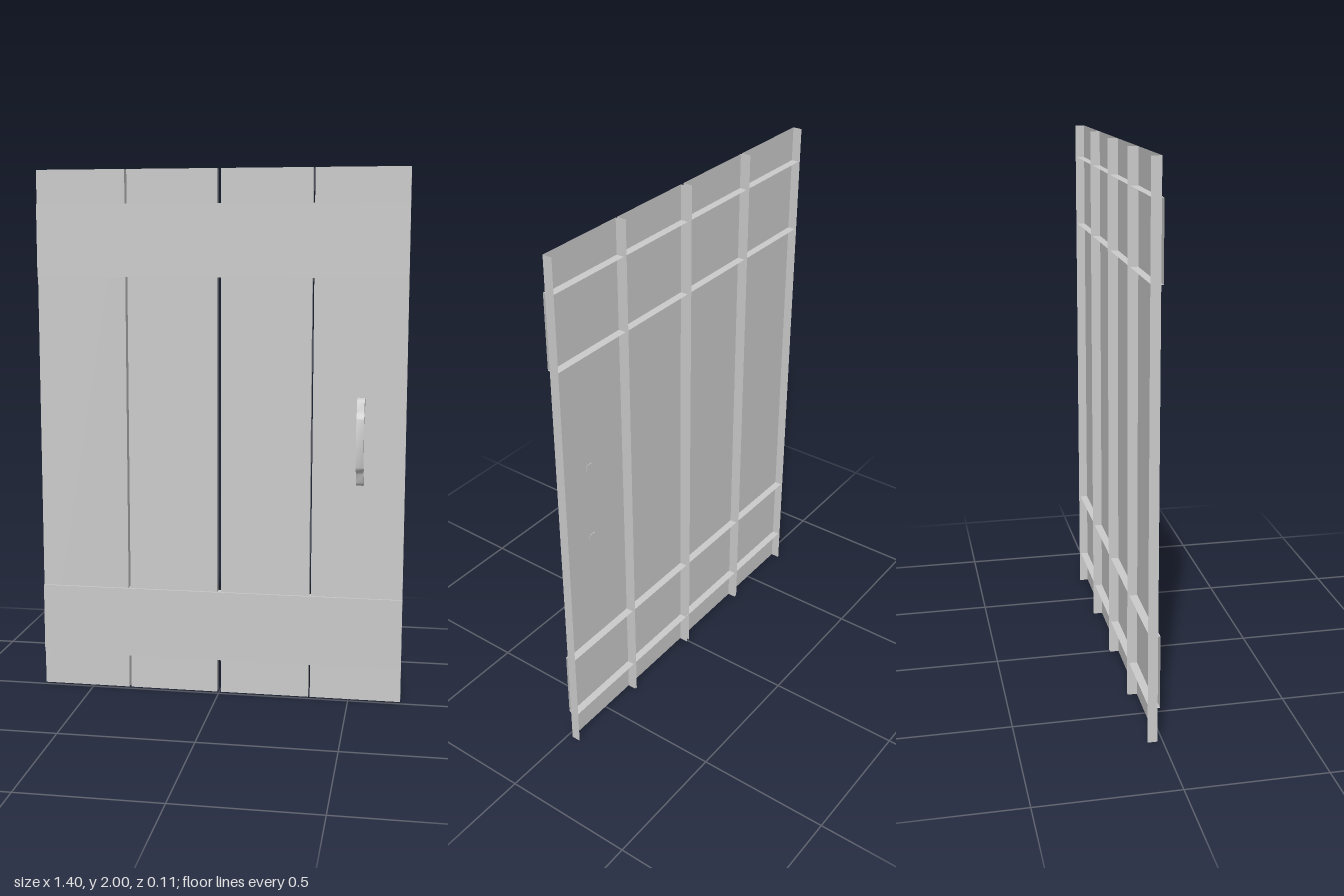
import * as THREE from 'three';
import { toCreasedNormals } from 'three/addons/utils/BufferGeometryUtils.js';

const material = new THREE.MeshStandardMaterial({ color: 0xcccccc, side: THREE.DoubleSide });

// Box face numbers, in the order BoxGeometry lists them
const LEFT = 0, RIGHT = 1, TOP = 2, BOTTOM = 3, FRONT = 4;

// An open sheet channel: a box that keeps only the given faces
function channel(name, [x0, x1], [y0, y1], [z0, z1], faces) {
  const geometry = new THREE.BoxGeometry(x1 - x0, y1 - y0, z1 - z0);
  const all = Array.from(geometry.index.array);
  geometry.setIndex(faces.flatMap((f) => all.slice(f * 6, f * 6 + 6)));
  geometry.clearGroups();
  const mesh = new THREE.Mesh(geometry, material);
  mesh.name = name;
  mesh.position.set((x0 + x1) / 2, (y0 + y1) / 2, (z0 + z1) / 2);
  return mesh;
}

// Bent pull handle: side profile mirrored top to bottom, extruded across x
function createHandle() {
  const outer = [[-0.021, 0.162], [0.014, 0.162], [0.022, 0.158], [0.028, 0.148],
    [0.034, 0.117], [0.039, 0.108], [0.052, 0.096], [0.055, 0.088]];
  const inner = [[0.039, 0.075], [0.036, 0.081], [0.022, 0.092], [0.017, 0.1],
    [0.011, 0.124], [0.007, 0.131], [0, 0.133], [-0.021, 0.133]];
  const flip = (points) => points.map(([z, y]) => [z, -y]).reverse();
  const outline = [...outer, ...flip(outer), ...flip(inner), ...inner];
  const shape = new THREE.Shape(outline.map(([z, y]) => new THREE.Vector2(z, y)));
  const width = 0.028;
  const geometry = new THREE.ExtrudeGeometry(shape, { depth: width, bevelEnabled: false });
  geometry.translate(0, 0, -width / 2);
  geometry.rotateY(-Math.PI / 2); // profile x becomes +z
  const mesh = new THREE.Mesh(toCreasedNormals(geometry, Math.PI / 4), material);
  mesh.name = 'handle';
  mesh.position.set(0.533, 1.001, 0);
  return mesh;
}

export function createModel() {
  const door = new THREE.Group();
  door.name = 'plankDoor';

  // Four upright planks, open at the back, top and bottom
  const planks = [[-0.698, -0.358], [-0.35, -0.008], [0.006, 0.346], [0.353, 0.698]];
  planks.forEach((span, i) => {
    door.add(channel(`plank${i + 1}`, span, [0, 2], [-0.054, -0.019], [LEFT, RIGHT, FRONT]));
  });

  // Two cross boards, open at the back and ends
  for (const [name, span] of [['lowerCrossBoard', [0.13, 0.4]], ['upperCrossBoard', [1.602, 1.873]]]) {
    door.add(channel(name, [-0.698, 0.698], span, [-0.048, -0.011], [TOP, BOTTOM, FRONT]));
  }

  door.add(createHandle());
  return door;
}
